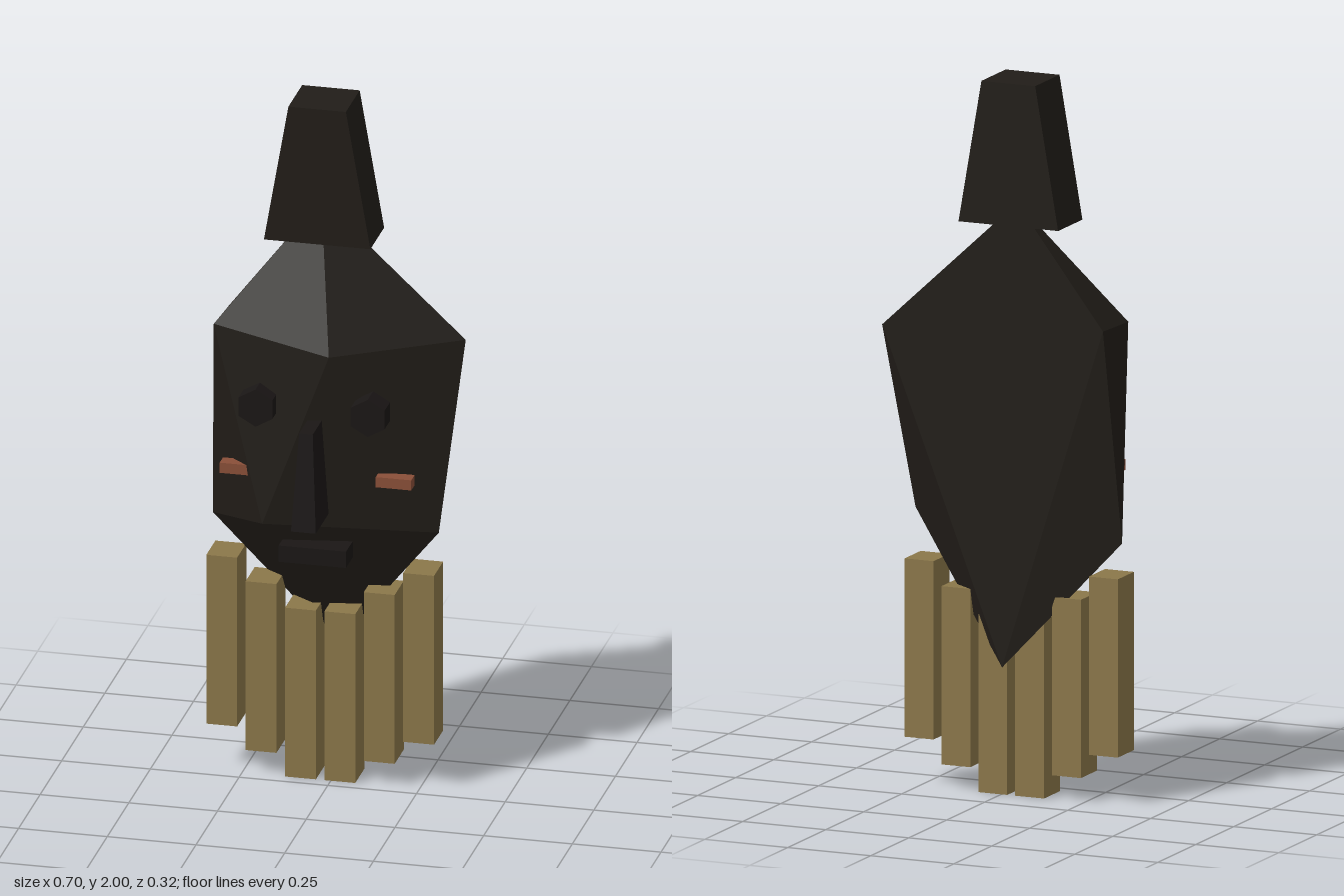
import * as THREE from 'three';
import { ConvexGeometry } from 'three/addons/geometries/ConvexGeometry.js';

const CX = -0.03; // centre line of the mask
const mat = (color) => new THREE.MeshStandardMaterial({ color, flatShading: true, roughness: 0.9 });

export function createModel() {
  const group = new THREE.Group();
  const wood = mat(0x211d18);
  const dark = mat(0x1a1615);
  const clay = mat(0x8a4f38);
  const straw = mat(0x8b774a);

  const add = (name, geometry, material, x, y, z) => {
    const mesh = new THREE.Mesh(geometry, material);
    mesh.name = name;
    mesh.position.set(x, y, z);
    group.add(mesh);
    return mesh;
  };
  const box = (w, h, d) => new THREE.BoxGeometry(w, h, d);

  // Box whose top is reshaped: narrowed in x, with its front pushed back
  const taperedBox = (w, h, d, topScale, frontShift = 0) => {
    const geometry = box(w, h, d);
    const p = geometry.attributes.position;
    for (let i = 0; i < p.count; i++) {
      if (p.getY(i) < 0) continue;
      p.setX(i, p.getX(i) * topScale);
      if (p.getZ(i) > 0) p.setZ(i, p.getZ(i) - frontShift);
    }
    geometry.computeVertexNormals();
    return geometry;
  };

  // Faceted face with a flat back
  const corners = [
    [-0.056, 1.668, -0.158], // crown point
    [-0.315, 1.33, -0.16], [-0.325, 1.33, -0.015], // right temple
    [0.01, 1.28, 0.03], // brow
    [0.35, 1.29, -0.16], // left temple
    [-0.175, 0.775, 0.042], // front of jaw
    [0.302, 0.76, -0.045], [-0.352, 0.73, -0.115], // jaw corners
    [-0.01, 0.36, -0.157], // chin
  ].map((c) => new THREE.Vector3(...c));
  add('face', new ConvexGeometry(corners), wood, 0, 0, 0);

  // Tapered crest on top
  add('crest', taperedBox(0.3, 0.4, 0.16, 0.54), wood, CX, 1.8, -0.08);

  // Nose and mouth
  add('nose', taperedBox(0.07, 0.28, 0.16, 0.55, 0.03), dark, CX, 0.95, 0.08);
  add('mouth', box(0.19, 0.048, 0.08), dark, CX, 0.697, 0.016);

  // Paired eyes and cheek marks
  for (const side of [-1, 1]) {
    const label = side > 0 ? 'left' : 'right';
    const eye = new THREE.CylinderGeometry(0.055, 0.055, 0.065, 6).rotateX(Math.PI / 2);
    add(label + 'Eye', eye, dark, CX + side * 0.158, 1.125, 0.032);
    add(label + 'CheekMark', box(0.1, 0.03, 0.04), clay, CX + side * 0.22, 0.92, 0);
  }

  // Beard of hanging strands, longest reach in the middle
  for (let i = 0; i < 6; i++) {
    const offset = i - 2.5;
    const drop = (Math.abs(offset) - 0.5) * 0.0675;
    add('beardStrand' + (i + 1), box(0.087, 0.5, 0.106), straw, CX + offset * 0.111, 0.25 + drop, -0.088);
  }

  return group;
}
